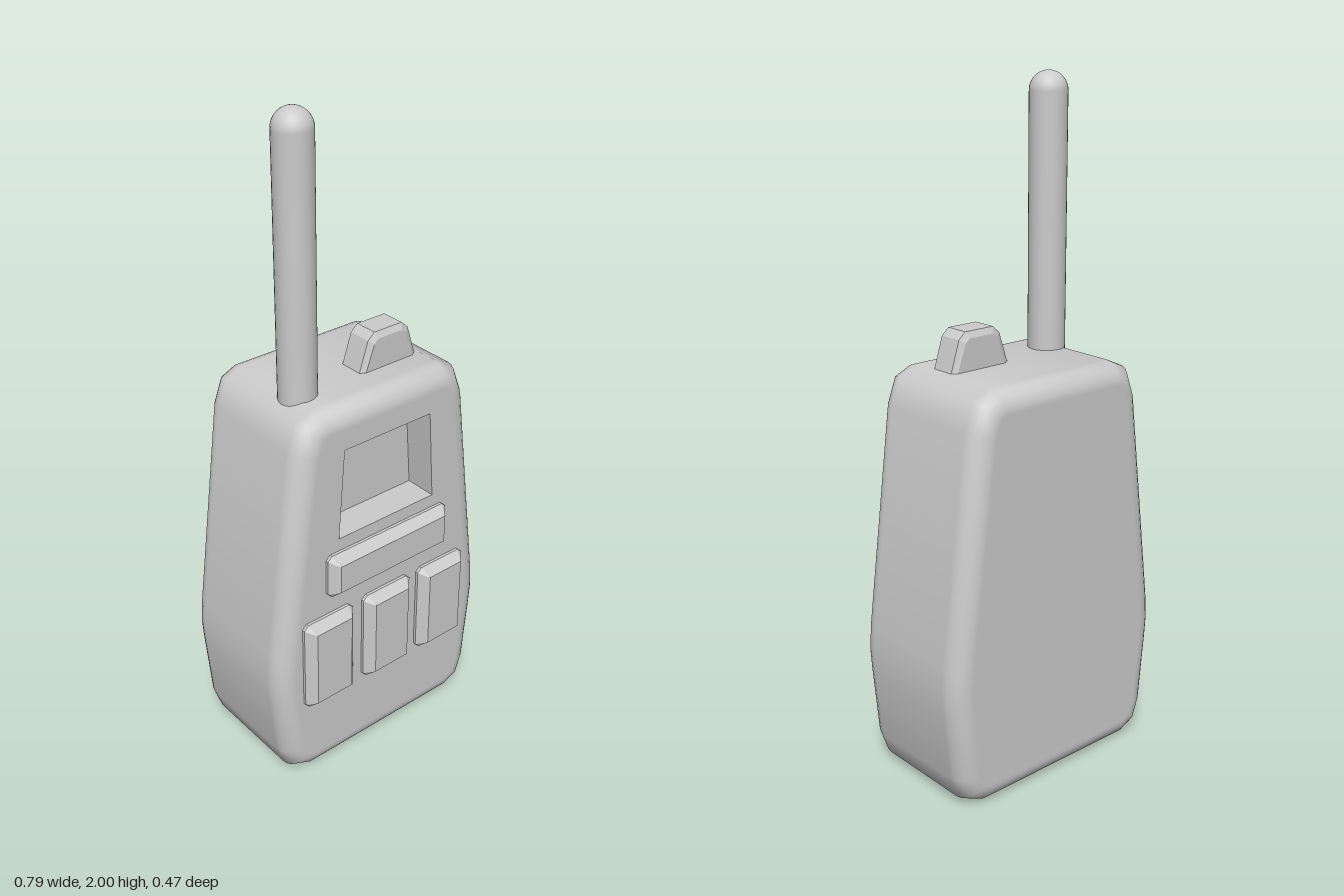
import * as THREE from 'three';

const material = new THREE.MeshStandardMaterial({ color: 0xcccccc });
const V = (x, y) => new THREE.Vector2(x, y);

// Right half of the body outline, bottom to top; mirrored to close the loop
const half = [
  [0.28, 0], [0.345, 0.03], [0.37, 0.1], [0.39, 0.31], [0.395, 0.38], [0.389, 0.46],
  [0.305, 1.11], [0.275, 1.19], [0.22, 1.215],
].map(([x, y]) => V(x, y));
const outline = [...half, ...half.slice().reverse().map((p) => V(-p.x, p.y))];

// Unit normal and mitre factor at each outline corner
const corners = outline.map((p, i) => {
  const n = outline.length;
  const edgeNormal = (a, b) => V(b.y - a.y, a.x - b.x).normalize();
  const n0 = edgeNormal(outline[(i + n - 1) % n], p);
  const n1 = edgeNormal(p, outline[(i + 1) % n]);
  const normal = n0.clone().add(n1).normalize();
  return { p, normal, mitre: 1 / normal.dot(n1) };
});
const inset = (d) => corners.map((c) => c.p.clone().addScaledVector(c.normal, -d * c.mitre));

const BACK = -0.235, FRONT = 0.2, RADIUS = 0.062, RECESS = 0.1;

// Side wall with rounded front and back edges
function shellGeometry() {
  const steps = 6, rings = [];
  for (let s = 0; s <= steps; s++) rings.push([BACK + RADIUS, -Math.PI / 2 * (1 - s / steps)]);
  for (let s = 0; s <= steps; s++) rings.push([FRONT - RADIUS, Math.PI / 2 * (s / steps)]);
  const pos = [], nor = [], idx = [], n = corners.length;
  rings.forEach(([zc, a], k) => {
    inset(RADIUS * (1 - Math.cos(a))).forEach((q, i) => {
      const m = corners[i].normal;
      pos.push(q.x, q.y, zc + RADIUS * Math.sin(a));
      nor.push(m.x * Math.cos(a), m.y * Math.cos(a), Math.sin(a));
      if (k === rings.length - 1) return;
      const j = (i + 1) % n, A = k * n + i, B = k * n + j;
      idx.push(A, B, B + n, A, B + n, A + n);
    });
  });
  const g = new THREE.BufferGeometry();
  g.setAttribute('position', new THREE.Float32BufferAttribute(pos, 3));
  g.setAttribute('normal', new THREE.Float32BufferAttribute(nor, 3));
  g.setIndex(idx);
  return g;
}

// Extruded shape with a single-step bevel that stays inside the given outline
function bevelled(points, depth, size, thickness) {
  return new THREE.ExtrudeGeometry(new THREE.Shape(points), {
    depth: depth - 2 * thickness, bevelEnabled: true, bevelSegments: 1,
    bevelSize: size, bevelThickness: thickness, bevelOffset: -size,
  }).translate(0, 0, thickness);
}

// Rectangle with cut corners
function cutRect(w, h, c) {
  const x = w / 2, y = h / 2;
  return [V(-x + c, -y), V(x - c, -y), V(x, -y + c), V(x, y - c),
    V(x - c, y), V(-x + c, y), V(-x, y - c), V(-x, -y + c)];
}

export function createModel() {
  const model = new THREE.Group();
  model.name = 'handheldRadio';
  const add = (name, geometry, x = 0, y = 0, z = 0, parent = model) => {
    const mesh = new THREE.Mesh(geometry, material);
    mesh.name = name;
    mesh.position.set(x, y, z);
    parent.add(mesh);
    return mesh;
  };

  // Body: rounded shell, back panel, front panel with a screen opening
  const body = new THREE.Group();
  body.name = 'body';
  model.add(body);
  add('shell', shellGeometry(), 0, 0, 0, body);
  const backPanel = new THREE.ShapeGeometry(new THREE.Shape(inset(RADIUS))).rotateY(Math.PI);
  add('backPanel', backPanel, 0, 0, BACK, body);

  const screen = [V(-0.175, 0.81), V(0.175, 0.81), V(0.155, 1.09), V(-0.155, 1.09)];
  const face = new THREE.Shape(inset(RADIUS));
  face.holes.push(new THREE.Path(screen.slice().reverse()));
  const panel = new THREE.ExtrudeGeometry(face, { depth: RECESS, bevelEnabled: false });
  add('frontPanel', panel, 0, 0, FRONT - RECESS, body);
  add('screen', new THREE.ShapeGeometry(new THREE.Shape(screen)), 0, 0, FRONT - RECESS, body);

  // Buttons: one wide bar above three upright keys
  const button = (name, x, y, w, h) =>
    add(name, bevelled(cutRect(w, h, 0.014), 0.09, 0.026, 0.028), x, y, 0.147);
  button('wideButton', 0, 0.7, 0.445, 0.14);
  [-0.22, -0.002, 0.21].forEach((x, i) => button(`keyButton${i + 1}`, x, 0.42, 0.178, 0.3));

  // Tapered knob on top
  const knob = [V(0, 1.2), V(0.213, 1.2), V(0.18, 1.305), V(0.157, 1.325), V(0.058, 1.325), V(0.035, 1.305)];
  add('knob', bevelled(knob, 0.093, 0.018, 0.01), 0, 0, -0.014);

  // Antenna with a domed tip
  const r = 0.055, tip = 2 - r, foot = 1.19;
  const antenna = new THREE.Group();
  antenna.name = 'antenna';
  antenna.position.set(-0.196, 0, 0.05);
  model.add(antenna);
  add('antennaRod', new THREE.CylinderGeometry(r, r, tip - foot, 32, 1, true), 0, (tip + foot) / 2, 0, antenna);
  add('antennaTip', new THREE.SphereGeometry(r, 32, 10, 0, Math.PI * 2, 0, Math.PI / 2), 0, tip, 0, antenna);

  return model;
}
